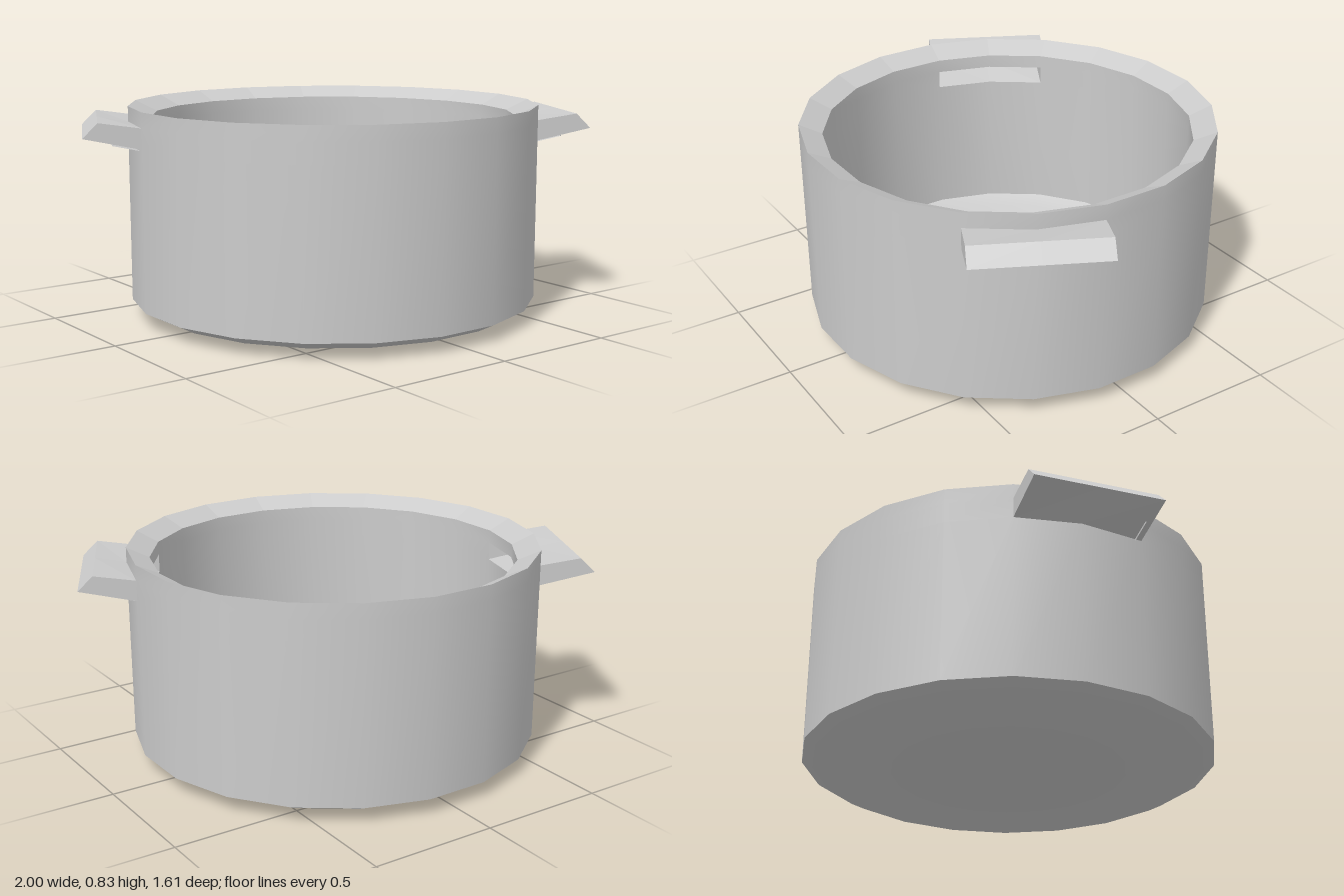
import * as THREE from 'three';
import { toCreasedNormals } from 'three/addons/utils/BufferGeometryUtils.js';

const SIDES = 20, STEP = (Math.PI * 2) / SIDES, START = THREE.MathUtils.degToRad(9.5);
const R = 0.812, TOP = 0.835;
const INNER = 0.89, CENTRE_Y = 0.45; // the lining is the outside scaled about this height
const GRIP_LOW = 0.695, GRIP_HIGH = 0.775, GRIP_STARTS = [2, 12];

// Radius and height, bottom centre to rim
const PROFILE = [[0, 0], [0.745, 0.03], [R, 0.065], [R, GRIP_LOW], [R, GRIP_HIGH], [R, TOP]];
const GRIP_ROW = 3;

const ring = (r, y, k) => {
  const a = START + k * STEP;
  return new THREE.Vector3(r * Math.sin(a), y, r * Math.cos(a));
};
const toInner = (p) => new THREE.Vector3(p.x * INNER, (p.y - CENTRE_Y) * INNER + CENTRE_Y, p.z * INNER);

// Collects quads; the lining is scaled and turned inside out
function surface(build, inside) {
  const pos = [];
  const tri = (a, b, c) => {
    const pts = inside ? [a, c, b].map(toInner) : [a, b, c];
    pts.forEach((p) => pos.push(p.x, p.y, p.z));
  };
  build((a, b, c, d) => {
    if (a.distanceTo(b) > 1e-6) tri(a, b, c);
    tri(a, c, d);
  });
  const geo = new THREE.BufferGeometry();
  geo.setAttribute('position', new THREE.Float32BufferAttribute(pos, 3));
  geo.computeVertexNormals();
  return geo;
}

// Round body, left open where the handles join
function buildBody(quad) {
  for (let j = 0; j < PROFILE.length - 1; j++) {
    const [r0, y0] = PROFILE[j], [r1, y1] = PROFILE[j + 1];
    for (let k = 0; k < SIDES; k++) {
      if (j === GRIP_ROW && GRIP_STARTS.some((s) => k === s || k === s + 1)) continue;
      quad(ring(r0, y0, k), ring(r0, y0, k + 1), ring(r1, y1, k + 1), ring(r1, y1, k));
    }
  }
}

// Handle drawn out of two wall panels to a bevelled edge
const buildHandle = (start) => (quad) => {
  const a = START + (start + 1) * STEP;
  const at = (d, y, t) => new THREE.Vector3(
    d * Math.sin(a) + t * Math.cos(a), y, d * Math.cos(a) - t * Math.sin(a));
  const cols = [-1, 0, 1].map((i) => [
    ring(R, GRIP_LOW, start + 1 + i),
    at(0.99, 0.74, i * 0.251),
    at(0.932, 0.798, i * 0.251),
    ring(R, GRIP_HIGH, start + 1 + i),
  ]);
  for (let i = 0; i < 2; i++) {
    for (let j = 0; j < 3; j++) quad(cols[i][j], cols[i + 1][j], cols[i + 1][j + 1], cols[i][j + 1]);
  }
  quad(...cols[0]);
  quad(...[...cols[2]].reverse());
};

// Sloping rim joining the outside to the lining
function buildRim(quad) {
  for (let k = 0; k < SIDES; k++) {
    const a = ring(R, TOP, k), b = ring(R, TOP, k + 1);
    quad(a, b, toInner(b), toInner(a));
  }
}

export function createModel() {
  const group = new THREE.Group();
  group.name = 'cookingPot';
  const smooth = new THREE.MeshStandardMaterial({ color: 0xcccccc });
  const flat = new THREE.MeshStandardMaterial({ color: 0xcccccc, flatShading: true });
  const add = (name, geo, mat) => {
    const mesh = new THREE.Mesh(geo, mat);
    mesh.name = name;
    group.add(mesh);
  };

  add('outerBody', toCreasedNormals(surface(buildBody, false), 0.5), smooth);
  add('innerLining', toCreasedNormals(surface(buildBody, true), 0.5), smooth);
  add('rim', surface(buildRim, false), flat);
  GRIP_STARTS.forEach((start, i) => {
    const side = i === 0 ? 'left' : 'right';
    add(side + 'Handle', surface(buildHandle(start), false), flat);
    add(side + 'HandleHollow', surface(buildHandle(start), true), flat);
  });
  return group;
}
